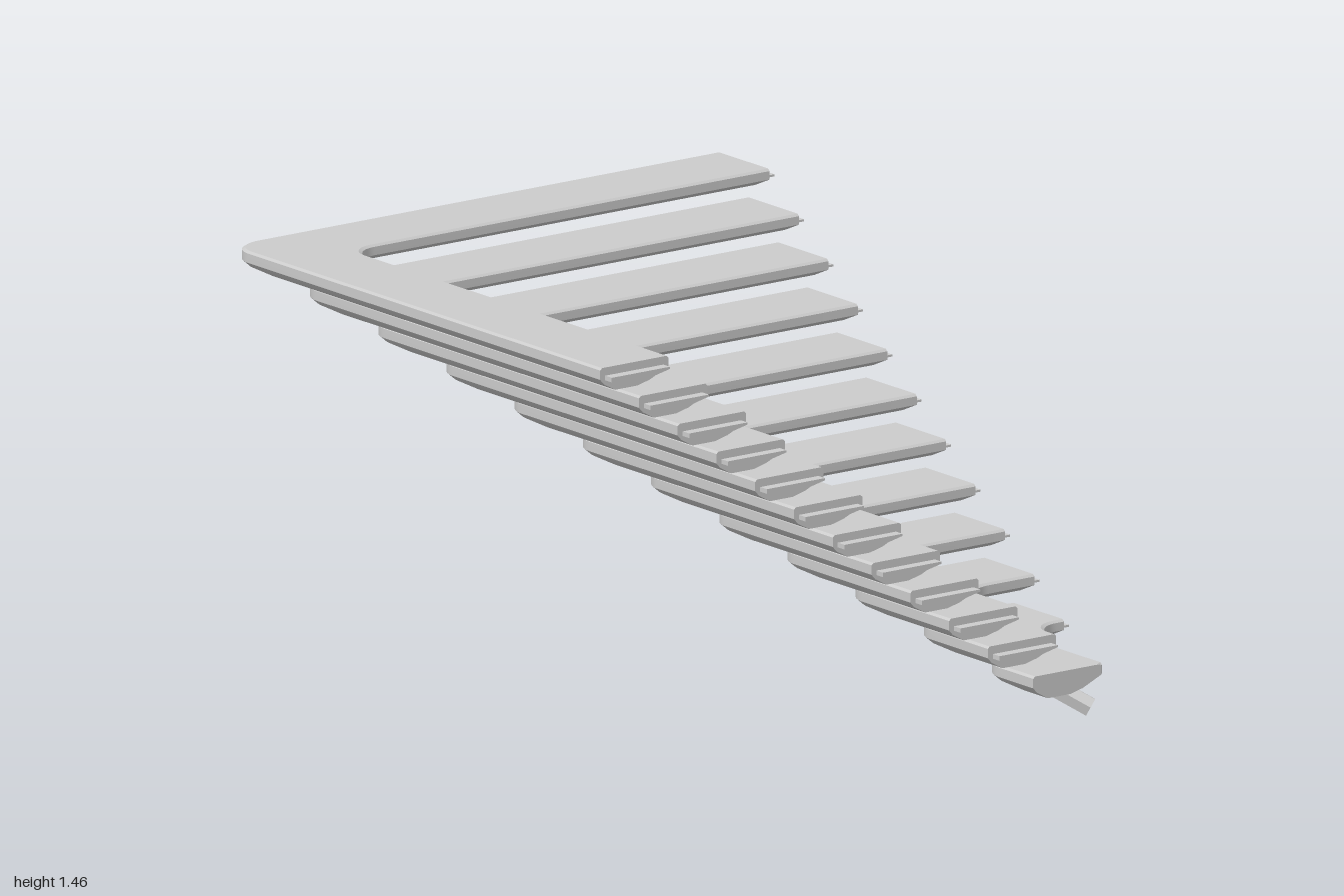
import * as THREE from 'three';
import { toCreasedNormals } from 'three/addons/utils/BufferGeometryUtils.js';

const STEPS = 12, RUN = 0.156, RISE = 0.1168;

// Tread cross-section: [distance from outer edge, height]; flat top, keeled belly
const TREAD = [
  [0.06, 0], [0.015, 0.025], [0, 0.042], [0, 0.073], [0.008, 0.08], [0.267, 0.08],
  [0.275, 0.073], [0.275, 0.045], [0.2, 0.012], [0.15, 0],
];
// Slimmer tongue that sticks out of both leg ends
const TONGUE = [
  [0.08, 0.024], [0.02, 0.038], [0.02, 0.053], [0.255, 0.053], [0.255, 0.046], [0.15, 0.024],
];

// Sweeps a section along an L whose outer corner is at (-c, +c), with rounded corners
function sweepL(section, c, base, end) {
  const rows = [], ARC = 10;
  for (let i = 0; i <= ARC + 2; i++) {
    rows.push(section.map(([d, h]) => {
      const x = -c + d, z = c - d, y = base + h;
      const r = Math.min(0.1, end - x);
      if (i === 0) return [x, y, -end];
      if (i === ARC + 2) return [end, y, z];
      const a = ((i - 1) / ARC) * Math.PI / 2;
      return [x + r - r * Math.cos(a), y, z - r + r * Math.sin(a)];
    }));
  }
  const n = section.length, last = rows.length - 1, index = [];
  for (let i = 0; i < last; i++) {
    for (let j = 0; j < n; j++) {
      const a = i * n + j, b = i * n + (j + 1) % n;
      index.push(a, a + n, b, a + n, b + n, b);
    }
  }
  // end caps
  for (let j = 1; j < n - 1; j++) {
    index.push(0, j, j + 1, last * n, last * n + j + 1, last * n + j);
  }
  const geo = new THREE.BufferGeometry();
  geo.setAttribute('position', new THREE.Float32BufferAttribute(rows.flat(2), 3));
  geo.setIndex(index);
  return toCreasedNormals(geo, 0.45);
}

export function createModel() {
  const model = new THREE.Group();
  model.name = 'cornerStaircase';
  const material = new THREE.MeshStandardMaterial({ color: 0xcccccc });
  const add = (geometry, name, parent) => {
    const mesh = new THREE.Mesh(geometry, material);
    mesh.name = name;
    parent.add(mesh);
    return mesh;
  };

  // L-shaped steps, growing outward as they rise; the lowest is a corner block
  for (let k = 0; k < STEPS; k++) {
    const step = new THREE.Group();
    step.name = `step${k + 1}`;
    const corner = -0.716 + k * RUN, base = 0.098 + k * RISE;
    add(sweepL(TREAD, corner, base, k === 0 ? 1 : 0.965), 'tread', step);
    if (k > 0) add(sweepL(TONGUE, corner, base, 1), 'endTongues', step);
    model.add(step);
  }

  // Six-sided diagonal rail under the outer corners
  const low = new THREE.Vector3(0.97, 0.031, -0.97);
  const high = new THREE.Vector3(-0.84, 1.4, 0.84);
  const dir = high.clone().sub(low);
  const railGeo = new THREE.CylinderGeometry(0.035, 0.035, dir.length(), 6);
  const rail = add(toCreasedNormals(railGeo, 0.45), 'rail', model);
  rail.position.copy(low).add(high).multiplyScalar(0.5);
  rail.quaternion.setFromUnitVectors(new THREE.Vector3(0, 1, 0), dir.normalize());

  return model;
}
